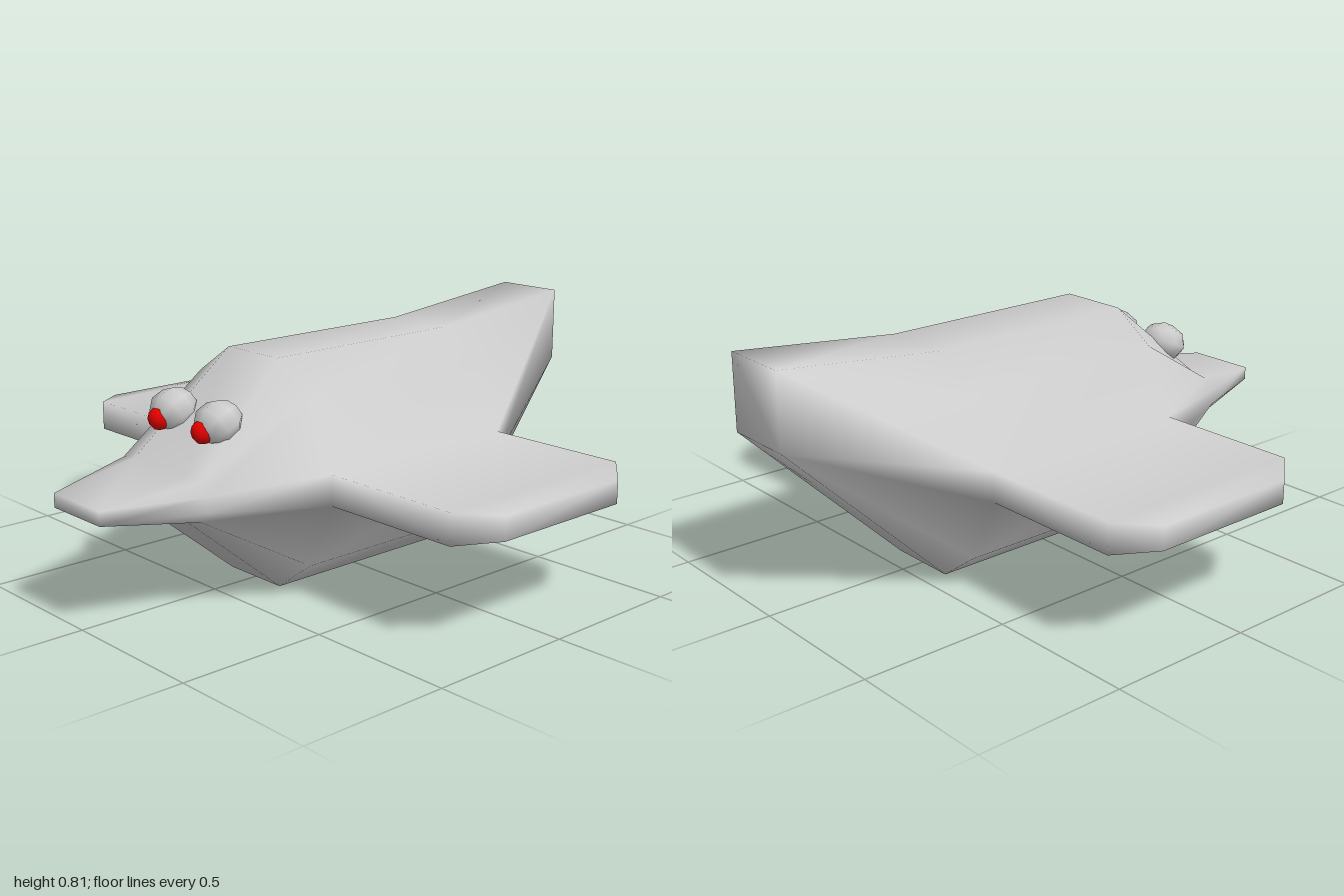
import * as THREE from 'three';
import { mergeVertices } from 'three/addons/utils/BufferGeometryUtils.js';

// Half cross-sections of the body (x, y from bottom to top), front to back
const SECTIONS = [
  { z: 1, half: [[0.12, 0.355], [0.12, 0.355], [0.12, 0.355], [0.12, 0.4], [0.12, 0.4], [0.12, 0.4]] },
  { z: 0.7, half: [[0.13, 0.305], [0.2, 0.32], [0.23, 0.355], [0.23, 0.405], [0.19, 0.44], [0.13, 0.45]] },
  { z: 0.33, half: [[0.12, 0], [0.27, 0.11], [0.37, 0.33], [0.37, 0.43], [0.27, 0.65], [0.12, 0.75]] },
  { z: -0.42, half: [[0.12, 0], [0.27, 0.11], [0.37, 0.33], [0.37, 0.43], [0.27, 0.65], [0.12, 0.75]] },
  { z: -1, half: [[0.12, 0.56], [0.12, 0.56], [0.12, 0.56], [0.12, 0.81], [0.12, 0.81], [0.12, 0.81]] },
];

// Wing outline by span: x, front z, rear z, bottom y, top y
const WING = [
  [0.37, 0.33, -0.42, 0.33, 0.43],
  [0.86, 0.33, -0.42, 0.33, 0.43],
  [0.96, 0.21, -0.3, 0.342, 0.418],
];

function bodyGeometry() {
  const positions = [];
  const tri = (...points) => points.forEach((p) => positions.push(...p));
  const quad = (a, b, c, d) => { tri(a, b, c); tri(a, c, d); };

  // Hull rings, counter-clockwise seen from the front
  const rings = SECTIONS.map(({ z, half }) => [
    ...half.map(([x, y]) => [x, y, z]),
    ...half.slice().reverse().map(([x, y]) => [-x, y, z]),
  ]);
  for (let i = 0; i < rings.length - 1; i++) {
    for (let j = 0; j < 12; j++) {
      if (i === 2 && (j === 2 || j === 8)) continue; // wing roots open here
      const k = (j + 1) % 12;
      quad(rings[i][j], rings[i + 1][j], rings[i + 1][k], rings[i][k]);
    }
  }

  // Flat nose tip and tail end
  const tip = rings[0], tail = rings[4];
  quad(tip[0], tip[5], tip[6], tip[11]);
  quad(tail[11], tail[6], tail[5], tail[0]);

  // Wings grow out of the hull and share its root corners
  for (const side of [1, -1]) {
    const face = (a, b, c, d) => (side > 0 ? quad(a, b, c, d) : quad(d, c, b, a));
    const loops = WING.map(([x, front, rear, low, high]) => [
      [side * x, low, front], [side * x, low, rear],
      [side * x, high, rear], [side * x, high, front],
    ]);
    for (let i = 0; i < 2; i++) {
      for (let j = 0; j < 4; j++) {
        const k = (j + 1) % 4;
        face(loops[i][j], loops[i][k], loops[i + 1][k], loops[i + 1][j]);
      }
    }
    face(...loops[2]);
  }

  const geometry = new THREE.BufferGeometry();
  geometry.setAttribute('position', new THREE.Float32BufferAttribute(positions, 3));
  const merged = mergeVertices(geometry);
  merged.computeVertexNormals();
  return merged;
}

export function createModel() {
  const model = new THREE.Group();
  model.name = 'birdGlider';
  const grey = new THREE.MeshStandardMaterial({ color: 0xcccccc });
  grey.name = 'lightGrey';
  const red = new THREE.MeshStandardMaterial({ color: 0xe60000 });
  red.name = 'red';

  const body = new THREE.Mesh(bodyGeometry(), grey);
  body.name = 'bodyAndWings';
  model.add(body);

  // Bulging eyes with small red pupils
  const eyeball = new THREE.SphereGeometry(0.083, 8, 5).rotateX(Math.PI / 2).scale(1, 0.8, 0.9);
  const pupil = new THREE.SphereGeometry(0.037, 8, 6);
  for (const side of [1, -1]) {
    const eye = new THREE.Group();
    eye.name = side > 0 ? 'leftEye' : 'rightEye';
    const ball = new THREE.Mesh(eyeball, grey);
    ball.name = 'eyeball';
    ball.rotation.x = 0.45;
    ball.position.set(side * 0.113, 0.586, 0.56);
    const dot = new THREE.Mesh(pupil, red);
    dot.name = 'pupil';
    dot.position.set(side * 0.11, 0.564, 0.617);
    eye.add(ball, dot);
    model.add(eye);
  }
  return model;
}
